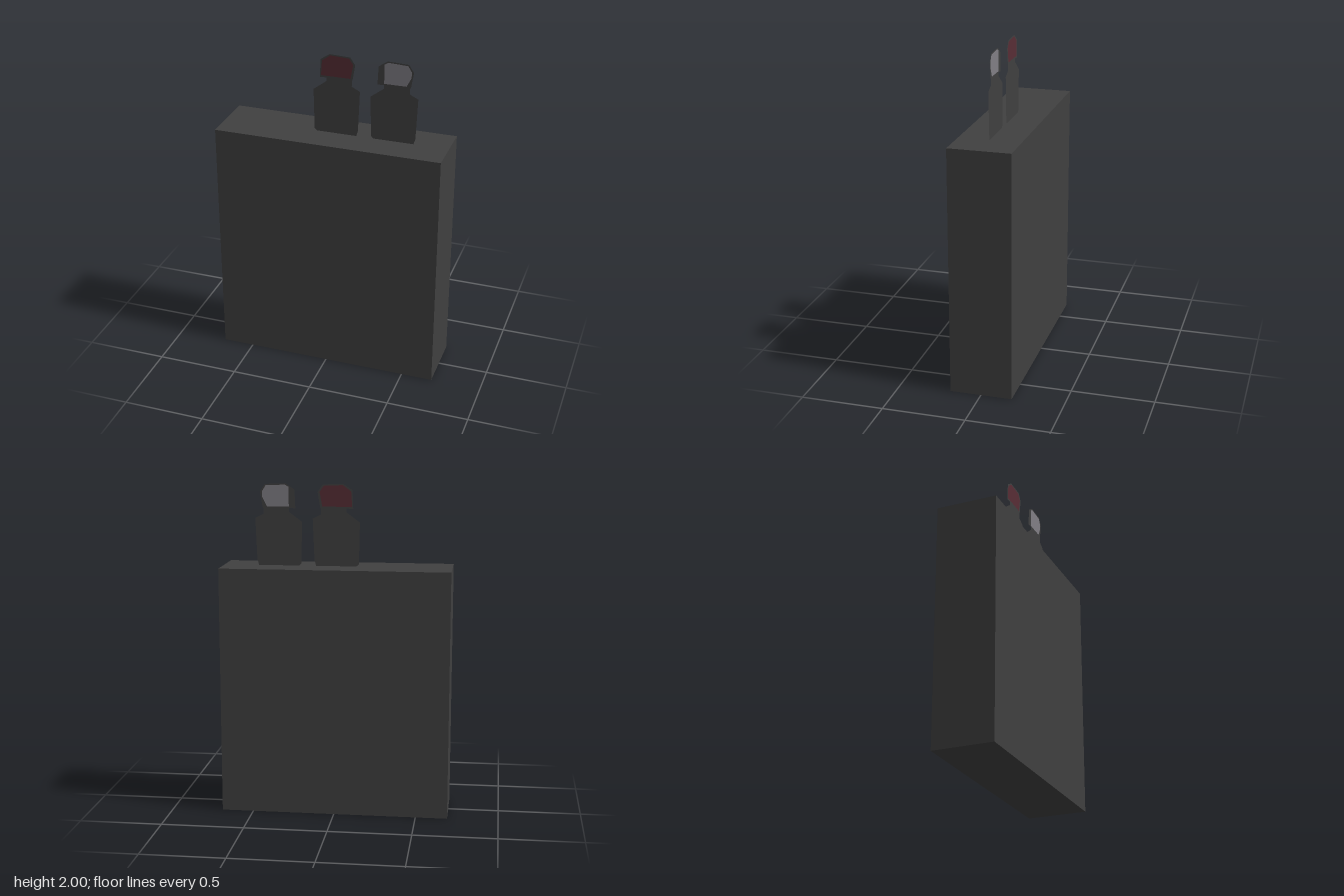
import * as THREE from 'three';

const mat = (name, color, side = THREE.FrontSide) => {
  const m = new THREE.MeshStandardMaterial({ color, side });
  m.name = name;
  return m;
};
const points = (list) => list.map(([x, y]) => new THREE.Vector2(x, y));

// Outline of a flat figure: base, shoulders, neck and bevelled head
const FIGURE = [
  [-0.115, 1.505], [0.13, 1.505], [0.14, 1.54], [0.15, 1.79], [0.10, 1.815], [0.10, 1.85],
  [0.105, 1.86], [0.12, 1.95], [0.09, 1.995], [-0.035, 2.0], [-0.09, 1.963],
  [-0.095, 1.85], [-0.055, 1.853], [-0.055, 1.83], [-0.135, 1.77], [-0.13, 1.52],
];
const RED_FACE = [
  [-0.088, 1.863], [0.092, 1.863], [0.108, 1.95], [0.083, 1.987], [-0.032, 1.992], [-0.082, 1.955],
];
const GREY_FACE = [
  [-0.055, 1.86], [0.078, 1.86], [0.106, 1.915], [0.108, 1.95], [0.085, 1.987], [-0.032, 1.992],
  [-0.055, 1.978],
];

export function createModel() {
  const model = new THREE.Group();
  const charcoal = mat('charcoal', 0x404040);
  const charcoalSheet = mat('charcoal sheet', 0x404040, THREE.DoubleSide);
  const darkRed = mat('dark red', 0x572d35, THREE.DoubleSide);
  const grey = mat('grey', 0x807e84, THREE.DoubleSide);

  // Large upright slab
  const slab = new THREE.Mesh(new THREE.BoxGeometry(1.385, 1.505, 0.376), charcoal);
  slab.name = 'slab';
  slab.position.y = 1.505 / 2;
  model.add(slab);

  // Flat cut-out figure with its coloured face set into the head
  const addFigure = (name, x, facePoints, faceMaterial) => {
    const figure = new THREE.Group();
    figure.name = name;
    const outline = new THREE.Shape(points(FIGURE));
    outline.holes.push(new THREE.Path(points(facePoints)));
    const body = new THREE.Mesh(new THREE.ShapeGeometry(outline), charcoalSheet);
    body.name = 'body';
    const face = new THREE.Mesh(new THREE.ShapeGeometry(new THREE.Shape(points(facePoints))), faceMaterial);
    face.name = 'face';
    figure.add(body, face);
    figure.position.x = x;
    model.add(figure);
  };
  addFigure('redFigure', 0, RED_FACE, darkRed);
  addFigure('greyFigure', 0.35, GREY_FACE, grey);

  return model;
}
